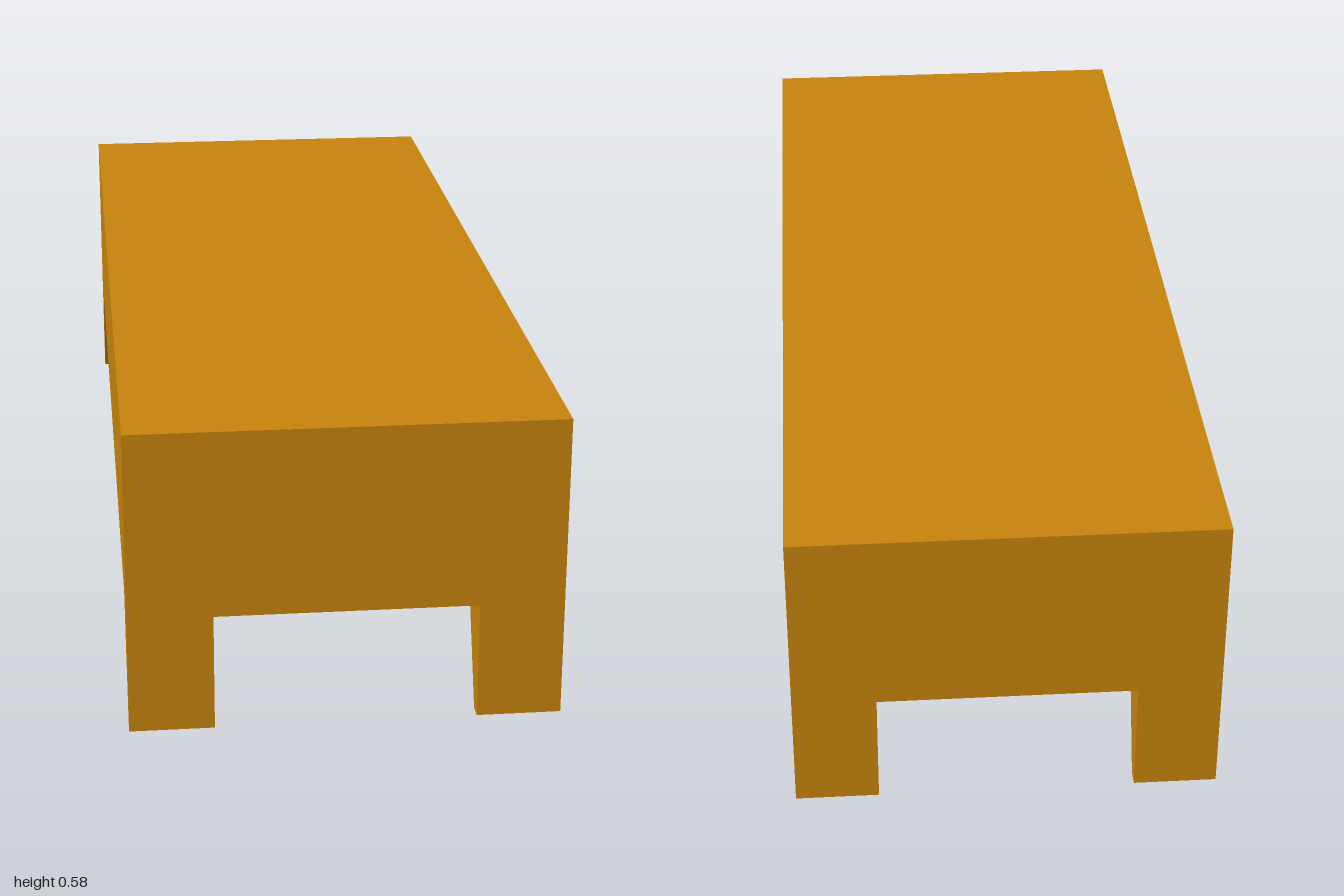
import * as THREE from 'three';

export function createModel() {
  const model = new THREE.Group();
  model.name = 'bench';
  const wood = new THREE.MeshStandardMaterial({ color: 0xc8840d });
  wood.name = 'amber wood';

  const width = 0.8, length = 2, height = 0.583, legHeight = 0.225, legWidth = 0.157;

  // Solid block top
  const bodyHeight = height - legHeight;
  const body = new THREE.Mesh(new THREE.BoxGeometry(width, bodyHeight, length), wood);
  body.name = 'body';
  body.position.y = legHeight + bodyHeight / 2;
  model.add(body);

  // Leg side profile: upright outer face, sloping inner face
  const profile = new THREE.Shape([
    new THREE.Vector2(0, 0),
    new THREE.Vector2(0, legHeight),
    new THREE.Vector2(-0.12, legHeight),
    new THREE.Vector2(-0.03, 0),
  ]);
  const legGeometry = new THREE.ExtrudeGeometry(profile, { depth: legWidth, bevelEnabled: false });
  legGeometry.translate(0, 0, -legWidth / 2).rotateY(-Math.PI / 2);

  // Four tapered corner legs
  for (const end of [1, -1]) {
    for (const side of [1, -1]) {
      const leg = new THREE.Mesh(legGeometry, wood);
      leg.name = (end > 0 ? 'front' : 'back') + (side > 0 ? 'Left' : 'Right') + 'Leg';
      leg.position.set(side * (width - legWidth) / 2, 0, end * length / 2);
      leg.rotation.y = end > 0 ? 0 : Math.PI;
      model.add(leg);
    }
  }
  return model;
}
